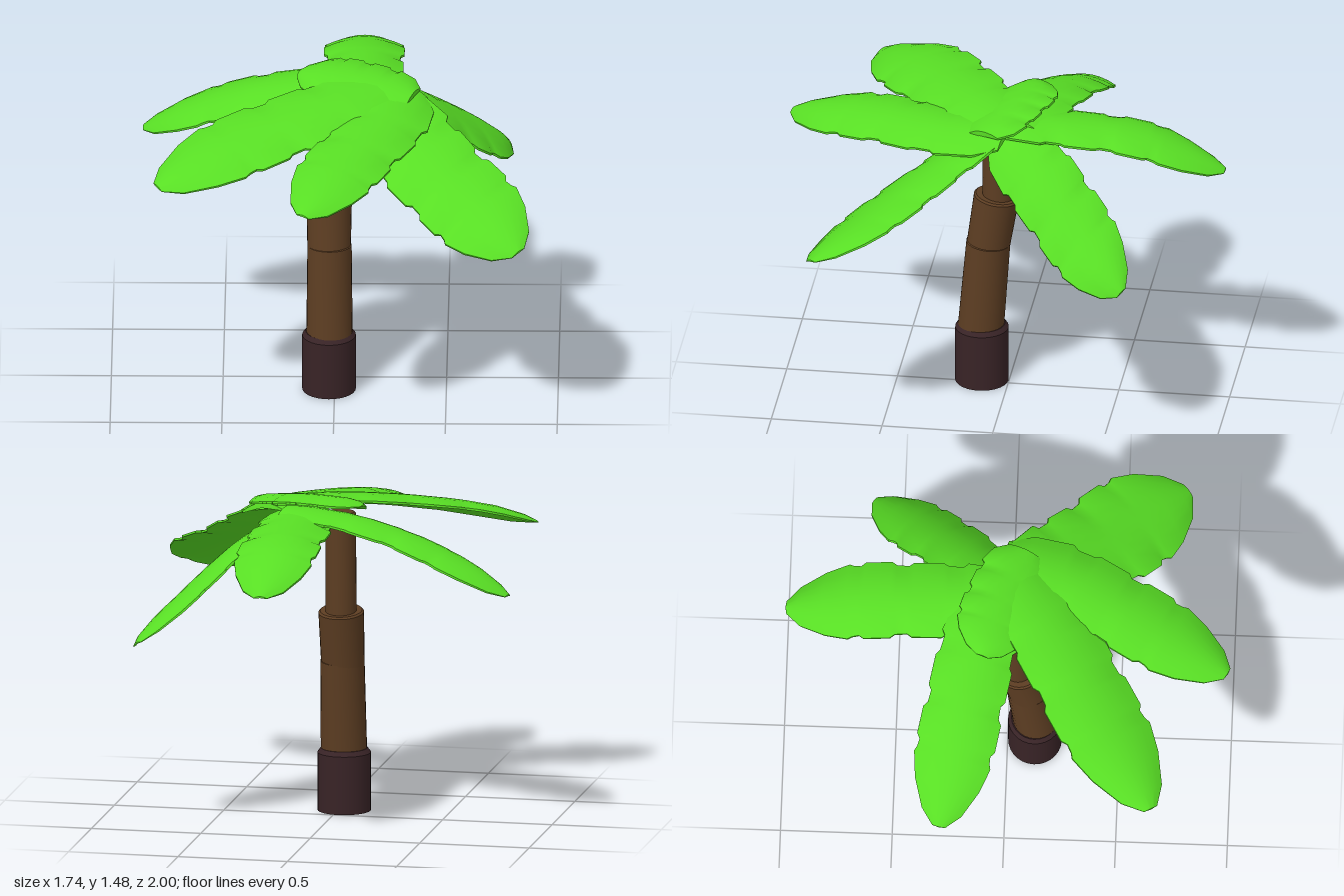
import * as THREE from 'three';
import { toCreasedNormals } from 'three/addons/utils/BufferGeometryUtils.js';

const mat = (name, color) => {
  const m = new THREE.MeshStandardMaterial({ color });
  m.name = name;
  return m;
};

// Leaf outline as [distance along, half width]: broad base, notched edges, faceted tip
const OUTLINE = [[0, 0], [0.005, 0.55], [0.1, 0.88], [0.24, 1], [0.26, 0.9], [0.32, 0.92], [0.34, 1],
  [0.46, 1], [0.48, 0.91], [0.53, 0.93], [0.55, 1.02], [0.66, 1.02], [0.68, 0.93], [0.71, 0.95], [0.73, 1],
  [0.83, 0.84], [0.94, 0.52], [0.997, 0.17], [1, 0]];

// Cross-section as [across, up]: arched top, thin edges, hollow underside
const SECTION = [];
for (let i = 0; i <= 8; i++) {
  const u = 1 - i / 4;
  SECTION.push([u, 0.042 * (1 - u * u) - 0.014]);
}
for (let i = 0; i <= 6; i++) {
  const u = -1 + i / 3;
  SECTION.push([u, 0.026 * (1 - u * u) - 0.024]);
}

// Sweep the section along a drooping path; roll raises the right-hand edge
function leafGeometry(points, halfWidth, roll) {
  const curve = new THREE.CatmullRomCurve3(points.map(p => new THREE.Vector3(...p)));
  const up = new THREE.Vector3(0, 1, 0);
  const n = SECTION.length, pos = [], index = [];
  OUTLINE.forEach(([t, w], s) => {
    const c = curve.getPointAt(t), tan = curve.getTangentAt(t);
    const side = tan.clone().cross(up).normalize();
    side.y = roll;
    side.normalize();
    const normal = side.clone().cross(tan).normalize();
    const thick = Math.min(1, w * 1.4);
    for (const [u, h] of SECTION) {
      const p = c.clone().addScaledVector(side, u * w * halfWidth).addScaledVector(normal, h * thick);
      pos.push(p.x, p.y, p.z);
    }
    if (s === 0) return;
    for (let i = 0; i < n; i++) {
      const a = (s - 1) * n + i, b = (s - 1) * n + (i + 1) % n;
      index.push(a, a + n, b, b, a + n, b + n);
    }
  });
  const g = new THREE.BufferGeometry();
  g.setAttribute('position', new THREE.Float32BufferAttribute(pos, 3));
  g.setIndex(index);
  return toCreasedNormals(g, 0.7);
}

// Bevelled round log running from point a to point b
function log(name, a, b, r0, r1, material) {
  const from = new THREE.Vector3(...a), dir = new THREE.Vector3(...b).sub(from);
  const len = dir.length(), e = 0.008;
  const profile = [[0, 0], [r0 - e, 0], [r0, e], [r1, len - e], [r1 - e, len], [0, len]]
    .map(p => new THREE.Vector2(...p));
  const g = toCreasedNormals(new THREE.LatheGeometry(profile, 28), 0.6);
  const mesh = new THREE.Mesh(g, material);
  mesh.name = name;
  mesh.position.copy(from);
  mesh.quaternion.setFromUnitVectors(new THREE.Vector3(0, 1, 0), dir.normalize());
  return mesh;
}

export function createModel() {
  const model = new THREE.Group();
  model.name = 'palmTree';
  const green = mat('leafGreen', 0x58de24);
  const bark = mat('barkBrown', 0x5c3d22);
  const dark = mat('darkBark', 0x382326);

  // Dark foot with a brown underside and a bevelled rim
  const foot = new THREE.Mesh(new THREE.CylinderGeometry(0.12, 0.12, 0.265, 28), [dark, dark, bark]);
  foot.name = 'trunkFoot';
  foot.position.set(-0.025, 0.1325, 0.122);
  const rim = new THREE.Mesh(new THREE.CylinderGeometry(0.105, 0.12, 0.02, 28), dark);
  rim.name = 'footRim';
  rim.position.set(-0.025, 0.275, 0.122);
  model.add(foot, rim);

  // Leaning trunk in three pieces
  model.add(
    log('lowerTrunk', [-0.023, 0.22, 0.13], [-0.023, 0.7, 0.092], 0.104, 0.099, bark),
    log('middleTrunk', [-0.025, 0.66, 0.096], [-0.025, 0.928, 0.055], 0.097, 0.102, bark),
    log('upperTrunk', [-0.025, 0.88, 0.05], [-0.025, 1.38, 0.048], 0.07, 0.068, bark));

  // Crown of leaves: name, path, half width, roll
  const leaves = [
    ['backLeaf', [[0.125, 1.39, 0.08], [0.125, 1.375, -0.3], [0.125, 1.34, -0.64], [0.125, 1.2, -1]], 0.177, 0],
    ['backLeftLeaf', [[0.2, 1.37, 0], [0.4, 1.24, -0.2], [0.6, 1.05, -0.42], [0.77, 0.88, -0.62]], 0.18, -0.55],
    ['frontLeftLeaf', [[0.2, 1.37, 0.05], [0.42, 1.21, 0.33], [0.63, 1.09, 0.55], [0.83, 0.97, 0.78]], 0.225, -0.36],
    ['frontLeaf', [[0.32, 1.4, -0.04], [0.24, 1.38, 0.25], [0.115, 1.355, 0.5], [-0.01, 1.315, 0.74],
      [-0.135, 1.24, 0.99]], 0.182, 0.15],
    ['frontRightLeaf', [[0.3, 1.43, -0.05], [0, 1.415, 0.18], [-0.35, 1.365, 0.39], [-0.58, 1.31, 0.535],
      [-0.79, 1.235, 0.67]], 0.205, 0.2],
    ['rightLeaf', [[0.2, 1.4, -0.05], [-0.1, 1.38, -0.13], [-0.4, 1.31, -0.19], [-0.65, 1.21, -0.24],
      [-0.86, 1.1, -0.28]], 0.176, 0.1],
    ['crownLeaf', [[0.35, 1.41, 0.08], [0.1, 1.445, -0.03], [-0.165, 1.445, -0.11]], 0.165, 0.2],
  ];
  for (const [name, path, halfWidth, roll] of leaves) {
    const leaf = new THREE.Mesh(leafGeometry(path, halfWidth, roll), green);
    leaf.name = name;
    model.add(leaf);
  }
  return model;
}
